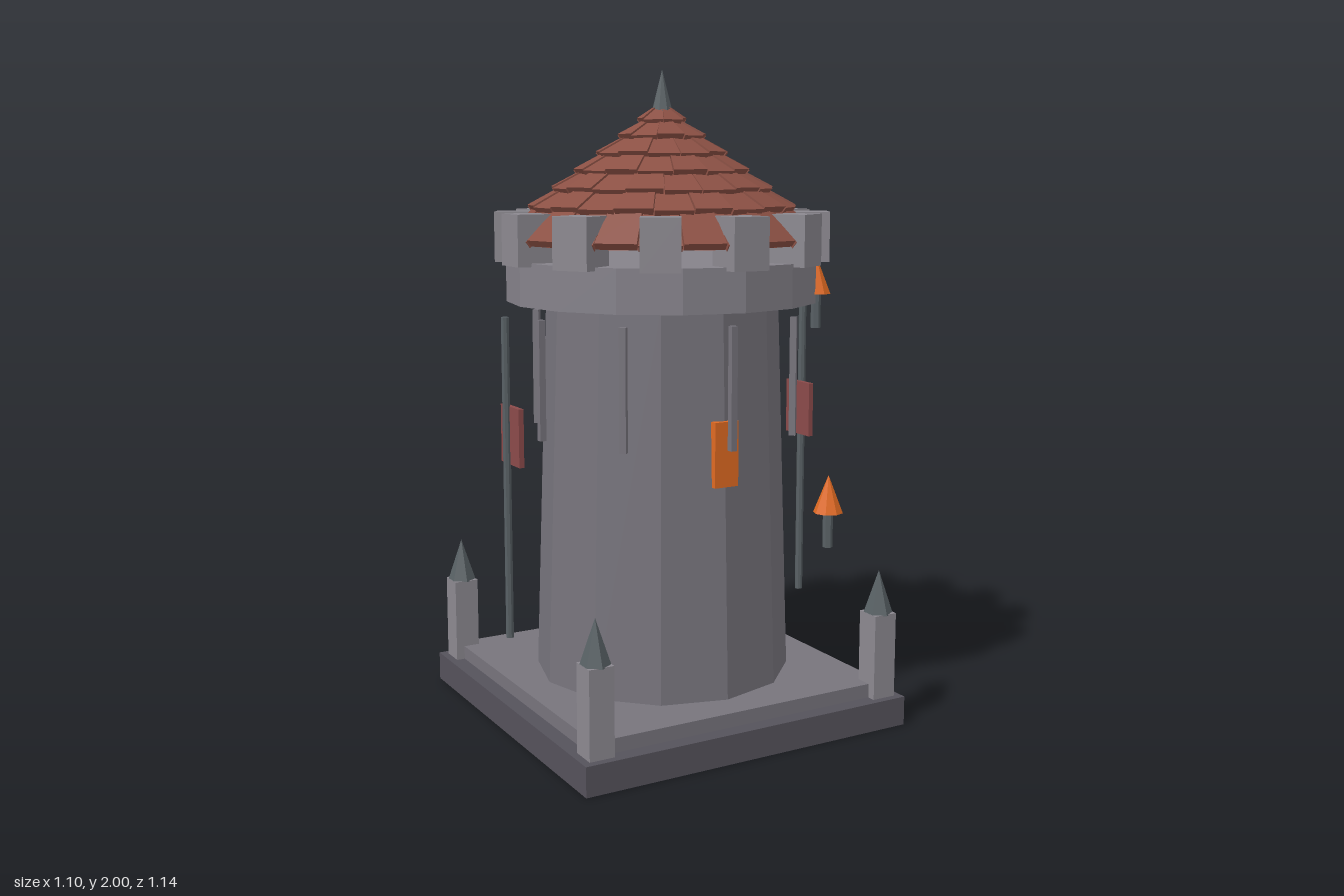
import * as THREE from 'three';
import { mergeGeometries } from 'three/addons/utils/BufferGeometryUtils.js';

const mat = (color) => new THREE.MeshStandardMaterial({ color, flatShading: true });
const M = {
  stone: mat(0x77747c), light: mat(0x8c8990), collar: mat(0x85828a), dark: mat(0x55525b),
  steel: mat(0x586064), tile: mat(0x8b5044), cloth: mat(0x8b4a4a), fire: mat(0xe06a22),
};

export function createModel() {
  const model = new THREE.Group();

  function add(parent, name, geometry, material, x, y, z, turn = 0) {
    const mesh = new THREE.Mesh(geometry, material);
    mesh.name = name;
    mesh.position.set(x, y, z);
    mesh.rotation.y = turn;
    parent.add(mesh);
    return mesh;
  }
  function group(name) {
    const g = new THREE.Group();
    g.name = name;
    model.add(g);
    return g;
  }

  // Stepped square base
  add(model, 'baseSlab', new THREE.BoxGeometry(1.1, 0.09, 1.1), M.dark, 0, 0.045, 0);
  add(model, 'baseStep', new THREE.BoxGeometry(1, 0.05, 1), M.stone, 0, 0.108, 0);

  // Pointed corner posts
  const posts = group('cornerPosts');
  for (const sx of [-1, 1]) for (const sz of [-1, 1]) {
    add(posts, 'post', new THREE.BoxGeometry(0.078, 0.27, 0.078), M.light, sx * 0.488, 0.22, sz * 0.488);
    add(posts, 'postSpike', new THREE.ConeGeometry(0.045, 0.135, 6), M.steel, sx * 0.488, 0.42, sz * 0.488);
  }

  // Tapered tower and its collar
  add(model, 'tower', new THREE.CylinderGeometry(0.36, 0.4, 1.18, 12), M.stone, 0, 0.72, 0);
  add(model, 'collar', new THREE.CylinderGeometry(0.48, 0.48, 0.13, 16), M.collar, 0, 1.367, 0);
  add(model, 'window', new THREE.BoxGeometry(0.08, 0.195, 0.03), M.fire, 0, 0.878, 0.37);

  // Ring of battlement blocks
  const merlons = group('battlements');
  for (let i = 0; i < 12; i++) {
    const a = i * Math.PI / 6;
    add(merlons, 'merlon', new THREE.BoxGeometry(0.116, 0.152, 0.116), M.light,
      0.4525 * Math.sin(a), 1.498, 0.4525 * Math.cos(a), a);
  }

  // Hanging rods under the collar
  const rods = group('hangingRods');
  for (let i = 0; i < 8; i++) {
    const a = i * Math.PI / 4;
    add(rods, 'rod', new THREE.BoxGeometry(0.02, 0.365, 0.02), M.stone,
      0.415 * Math.sin(a), 1.077, 0.415 * Math.cos(a), a);
  }

  // One roof tile: a box bent around the axis between two radii
  function tile(angle, span, low, high, thick) {
    const g = new THREE.BoxGeometry(1, 1, 1);
    const p = g.attributes.position;
    for (let i = 0; i < p.count; i++) {
      const t = p.getY(i) + 0.5, a = angle + p.getX(i) * span;
      const depth = (p.getZ(i) - 0.5) * thick;
      const r = Math.max(0.005, low[0] + (high[0] - low[0]) * t + depth * 0.6);
      const y = low[1] + (high[1] - low[1]) * t + depth * 0.8;
      p.setXYZ(i, r * Math.sin(a), y, r * Math.cos(a));
    }
    return g;
  }

  // Roof core and overlapping tile rows: [lower radius, lower y, tile count]
  const roof = group('roof');
  add(roof, 'roofCore', new THREE.ConeGeometry(0.455, 0.4, 24), M.tile, 0, 1.68, 0);
  const rows = [
    [0.49, 1.495, 24], [0.412, 1.59, 22], [0.342, 1.645, 19], [0.272, 1.698, 16],
    [0.205, 1.75, 13], [0.138, 1.802, 10], [0.078, 1.85, 7],
  ];
  const tiles = [];
  rows.forEach(([r, y, n], row) => {
    const next = rows[row + 1] || [0.01, 1.9];
    const span = 2 * Math.PI / n;
    for (let i = 0; i < n; i++) {
      const lift = (i % 2) * 0.005;
      tiles.push(tile((i + 0.5 * (row % 2)) * span, span * 0.97,
        [r, y + lift], [Math.max(0.01, next[0] - 0.02), next[1] + lift - 0.006], 0.022));
    }
  });
  add(roof, 'roofTiles', mergeGeometries(tiles), M.tile, 0, 0, 0);
  add(roof, 'finial', new THREE.ConeGeometry(0.034, 0.13, 8), M.steel, 0, 1.935, 0);

  // Side poles with cloth banners
  const banners = group('banners');
  for (const s of [-1, 1]) {
    add(banners, 'pole', new THREE.CylinderGeometry(0.0125, 0.0125, 0.975, 8), M.steel, s * 0.53, 0.787, 0);
    add(banners, 'banner', new THREE.BoxGeometry(0.016, 0.175, 0.13), M.cloth, s * 0.516, 0.922, 0.01);
  }

  // Torches: handle and flame
  const torches = group('torches');
  for (const [x, y, z] of [[0.263, 0.6, 0.528], [0.263, 0.6, -0.528], [0.36, 1.225, 0.313]]) {
    add(torches, 'torchHandle', new THREE.CylinderGeometry(0.015, 0.015, 0.115, 6), M.steel, x, y + 0.057, z);
    add(torches, 'torchFlame', new THREE.ConeGeometry(0.044, 0.112, 8), M.fire, x, y + 0.16, z);
  }

  return model;
}
